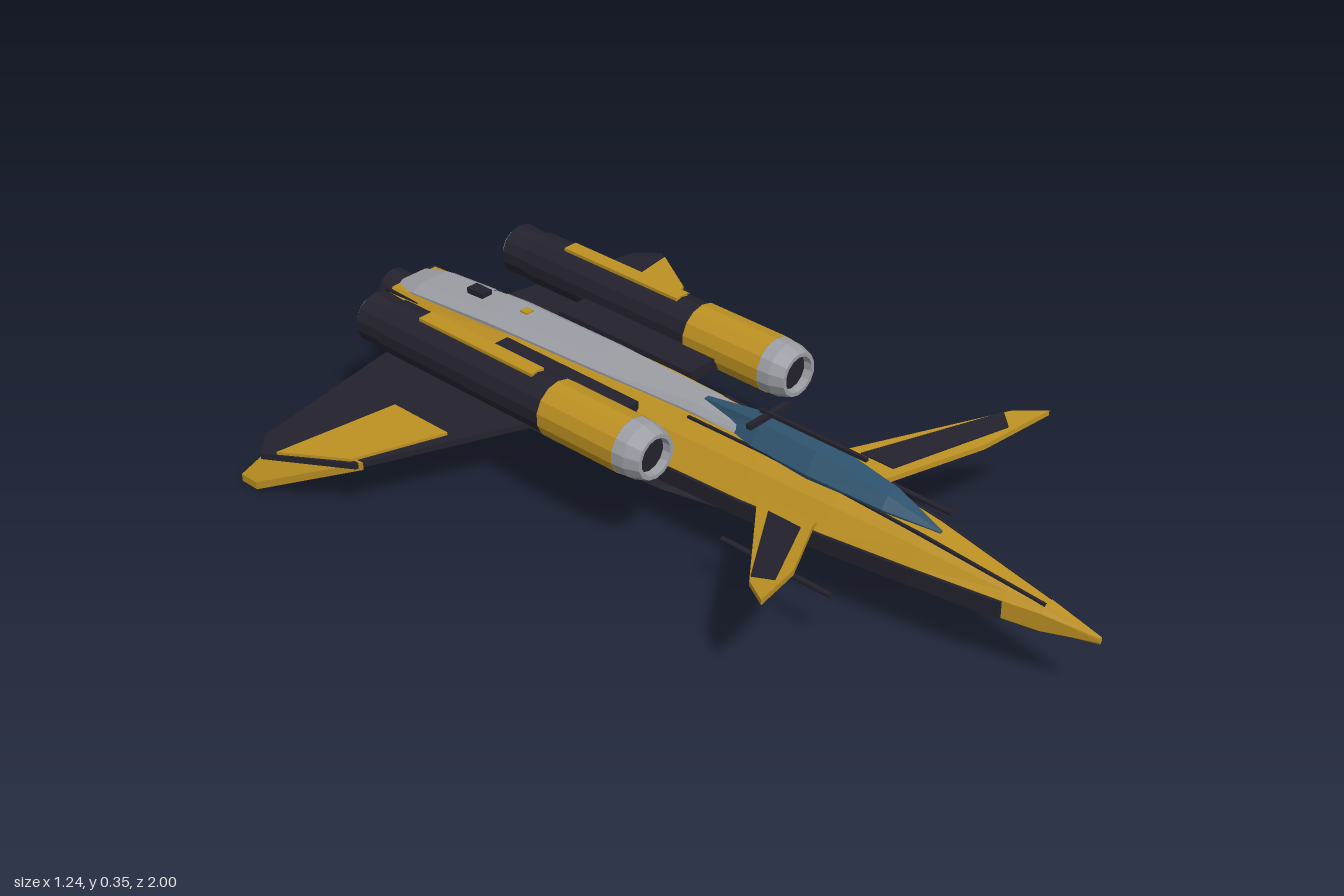
import * as THREE from 'three';

const mat = (name, color) => {
  const m = new THREE.MeshStandardMaterial({ color, flatShading: true });
  m.name = name;
  return m;
};

export function createModel() {
  const yellow = mat('yellow paint', 0xbd9122);
  const dark = mat('dark panels', 0x23222d);
  const grey = mat('grey metal', 0x9c9ea5);
  const glass = mat('blue glass', 0x2f536e);
  const pale = mat('pale exhaust', 0xb9b9b9);

  const model = new THREE.Group();
  const add = (name, geometry, material, x = 0, y = 0, z = 0, parent = model) => {
    const mesh = new THREE.Mesh(geometry, material);
    mesh.name = name;
    mesh.position.set(x, y, z);
    parent.add(mesh);
    return mesh;
  };
  const box = (w, h, d) => new THREE.BoxGeometry(w, h, d);

  // Skin over cross-sections, front to back, each counter-clockwise seen from +z
  const loft = (rings) => {
    const n = rings[0].pts.length, pos = [], idx = [];
    rings.forEach(r => r.pts.forEach(([x, y]) => pos.push(x, y, r.z)));
    for (let i = 0; i < rings.length - 1; i++) {
      for (let j = 0; j < n; j++) {
        const k = (j + 1) % n;
        const a = i * n + j, b = i * n + k, c = b + n, d = a + n;
        idx.push(a, d, c, a, c, b);
      }
    }
    const last = (rings.length - 1) * n;
    for (let j = 1; j < n - 1; j++) {
      idx.push(0, j, j + 1, last, last + j + 1, last + j);
    }
    const g = new THREE.BufferGeometry();
    g.setAttribute('position', new THREE.Float32BufferAttribute(pos, 3));
    g.setIndex(idx);
    const flat = g.toNonIndexed();
    flat.computeVertexNormals();
    return flat;
  };
  // Right half of a section, bottom to top, completed by mirroring
  const mirrored = (half) => [...half, ...half.slice().reverse().map(([x, y]) => [-x, y])];

  // Flat plate from an (x, z) outline, with its underside height given by |x|
  const plate = (outline, side, thickness, height) => {
    const shape = new THREE.Shape(outline.map(([x, z]) => new THREE.Vector2(x * side, -z)));
    const g = new THREE.ExtrudeGeometry(shape, { depth: thickness, bevelEnabled: false });
    g.rotateX(-Math.PI / 2);
    const p = g.attributes.position;
    for (let i = 0; i < p.count; i++) p.setY(i, p.getY(i) + height(Math.abs(p.getX(i))));
    g.computeVertexNormals();
    return g;
  };

  // Cylinder along z between two stations
  const tube = (name, front, back, zf, zb, material, parent, x = 0, y = 0, sides = 14) => {
    const g = new THREE.CylinderGeometry(front, back, zf - zb, sides);
    g.rotateX(Math.PI / 2);
    return add(name, g, material, x, y, (zf + zb) / 2, parent);
  };

  // Fuselage: z, half width, top half width, top, bottom half width, bottom
  const stations = [
    [1, 0.004, 0.002, 0.183, 0.002, 0.168],
    [0.88, 0.024, 0.01, 0.206, 0.012, 0.145],
    [0.8, 0.04, 0.016, 0.217, 0.018, 0.132],
    [0.6, 0.072, 0.03, 0.245, 0.03, 0.115],
    [0.4, 0.1, 0.042, 0.263, 0.042, 0.105],
    [0.2, 0.119, 0.05, 0.272, 0.05, 0.098],
    [0, 0.127, 0.055, 0.275, 0.055, 0.092],
    [-0.15, 0.13, 0.06, 0.275, 0.06, 0.088],
    [-0.5, 0.13, 0.065, 0.268, 0.065, 0.085],
    [-0.92, 0.1, 0.065, 0.245, 0.06, 0.108],
  ];
  add('fuselage', loft(stations.map(([z, w, tw, top, bw, bot]) => ({
    z,
    pts: mirrored([[bw, bot], [w, z > 0.9 ? 0.173 : 0.15], [w, z > 0.9 ? 0.178 : 0.19],
      [w * 0.45 + tw * 0.55, top - (top - 0.18) * 0.3], [tw, top]]),
  }))), yellow);

  // Dark belly keel
  add('keel', loft([
    [0.2, 0.03, 0.04, 0.092, 0.1], [-0.05, 0.05, 0.09, 0.08, 0.096],
    [-0.35, 0.06, 0.11, 0.067, 0.096], [-0.6, 0.06, 0.105, 0.072, 0.1],
    [-0.88, 0.045, 0.07, 0.095, 0.115],
  ].map(([z, bw, w, bot, top]) => ({
    z, pts: mirrored([[bw, bot], [w, top - 0.008], [w * 0.9, top]]),
  }))), dark);

  // Grey spine running aft from the canopy
  add('spine', loft([
    [0.2, 0.025, 0.035, 0.28], [0, 0.03, 0.044, 0.295], [-0.3, 0.036, 0.058, 0.293],
    [-0.6, 0.04, 0.064, 0.286], [-0.85, 0.04, 0.064, 0.268], [-0.92, 0.035, 0.055, 0.252],
  ].map(([z, tw, w, top]) => ({
    z, pts: mirrored([[w, 0.235], [w, top - 0.015], [tw, top]]),
  }))), grey);

  // Canopy
  add('canopy', loft([
    [0.62, 0.004, 0.002, 0.248], [0.5, 0.038, 0.018, 0.284], [0.32, 0.057, 0.025, 0.312],
    [0.17, 0.052, 0.022, 0.315], [0, 0.016, 0.006, 0.297],
  ].map(([z, w, tw, top]) => ({
    z, pts: mirrored([[w * 0.8, 0.24], [w, 0.242 + (top - 0.24) * 0.42], [tw, top]]),
  }))), glass);

  // Mast and probe above the canopy, small fittings on the spine
  add('canopyCrossbar', box(0.12, 0.012, 0.012), dark, 0, 0.322, 0.17);
  add('canopyProbe', box(0.008, 0.008, 0.28), dark, 0, 0.328, 0.29);
  add('spineFitting', box(0.03, 0.014, 0.05), dark, 0.005, 0.285, -0.7);
  add('spineFitting', box(0.014, 0.012, 0.03), dark, 0.04, 0.274, -0.67);
  add('spineMark', box(0.022, 0.006, 0.022), yellow, 0.01, 0.288, -0.55);

  // Tail housing and main exhaust
  add('tailHousing', box(0.15, 0.1, 0.11), dark, 0, 0.19, -0.88);
  tube('tailNozzle', 0.043, 0.048, -0.92, -0.995, dark, model, 0, 0.19);
  tube('tailExhaust', 0.04, 0.04, -0.99, -1, pale, model, 0, 0.19);

  const wingY = x => 0.146 - (x - 0.1) * 0.045;
  const canardY = x => 0.195 + (x - 0.1) * 0.235;

  for (const s of [1, -1]) {
    // Dark band along the flank
    add('sideBand', loft(stations.slice(2, 8).map(([z, w]) => {
      const inner = w - 0.015, outer = w + 0.007;
      const pts = [[inner, 0.151], [outer, 0.151], [outer, 0.189], [inner, 0.189]];
      return { z, pts: s > 0 ? pts : pts.map(([x, y]) => [-x, y]).reverse() };
    })), dark);

    // Thin dark seam on the nose shoulder
    add('shoulderSeam', loft([
      [0.88, 0.011, 0.204], [0.6, 0.032, 0.243], [0.3, 0.048, 0.268], [0, 0.056, 0.274],
    ].map(([z, x, y]) => ({
      z, pts: [[s * x - 0.003, y - 0.006], [s * x + 0.003, y - 0.006],
        [s * x + 0.003, y + 0.003], [s * x - 0.003, y + 0.003]],
    }))), dark);

    // Main wing with raised panel and drooping winglet
    add('wing', plate([[0.06, -0.31], [0.28, -0.42], [0.515, -0.535], [0.62, -0.72],
      [0.565, -0.77], [0.06, -0.84]], s, 0.014, wingY), dark);
    add('wingPanel', plate([[0.315, -0.465], [0.515, -0.548], [0.6, -0.69], [0.315, -0.635]],
      s, 0.009, x => wingY(x) + 0.012), yellow);
    add('winglet', plate([[0.505, -0.52], [0.592, -0.79], [0.592, -0.84], [0.51, -0.75]],
      s, 0.018, x => 0.128 - (x - 0.505) * 1.47), yellow);

    // Forward-swept canard with dark inlay
    add('canard', plate([[0.07, 0.22], [0.11, 0.24], [0.41, 0.485], [0.45, 0.55],
      [0.3, 0.5], [0.105, 0.385], [0.07, 0.38]], s, 0.012, canardY), yellow);
    add('canardInlay', plate([[0.145, 0.3], [0.395, 0.475], [0.365, 0.51], [0.145, 0.385]],
      s, 0.005, x => canardY(x) + 0.01), dark);

    // Gun barrel beneath the canard
    tube('gunBarrel', 0.006, 0.006, 0.505, 0.22, dark, model, s * 0.193, 0.14, 8);

    // Engine pod on its pylon
    add('enginePylon', box(0.11, 0.028, 0.4), dark, s * 0.135, 0.258, -0.32);
    const engine = new THREE.Group();
    engine.name = s > 0 ? 'leftEngine' : 'rightEngine';
    engine.position.set(s * 0.22, 0.28, 0);
    model.add(engine);
    const lip = [[0.064, 0], [0.062, 0.03], [0.051, 0.065], [0.042, 0.065], [0.04, 0.02]];
    const intake = new THREE.LatheGeometry(lip.map(p => new THREE.Vector2(...p)), 14);
    intake.rotateX(Math.PI / 2);
    add('intakeRing', intake, grey, 0, 0, 0, engine);
    tube('intakeCore', 0.043, 0.043, 0.045, -0.01, dark, engine);
    tube('engineCowl', 0.065, 0.065, 0, -0.215, yellow, engine);
    tube('engineBody', 0.062, 0.062, -0.215, -0.72, dark, engine);
    tube('engineNozzle', 0.056, 0.06, -0.72, -0.79, dark, engine);
    tube('engineExhaust', 0.052, 0.05, -0.785, -0.8, pale, engine);
    add('engineStripe', box(0.036, 0.009, 0.35), yellow, 0, 0.061, -0.45, engine);
  }
  return model;
}
